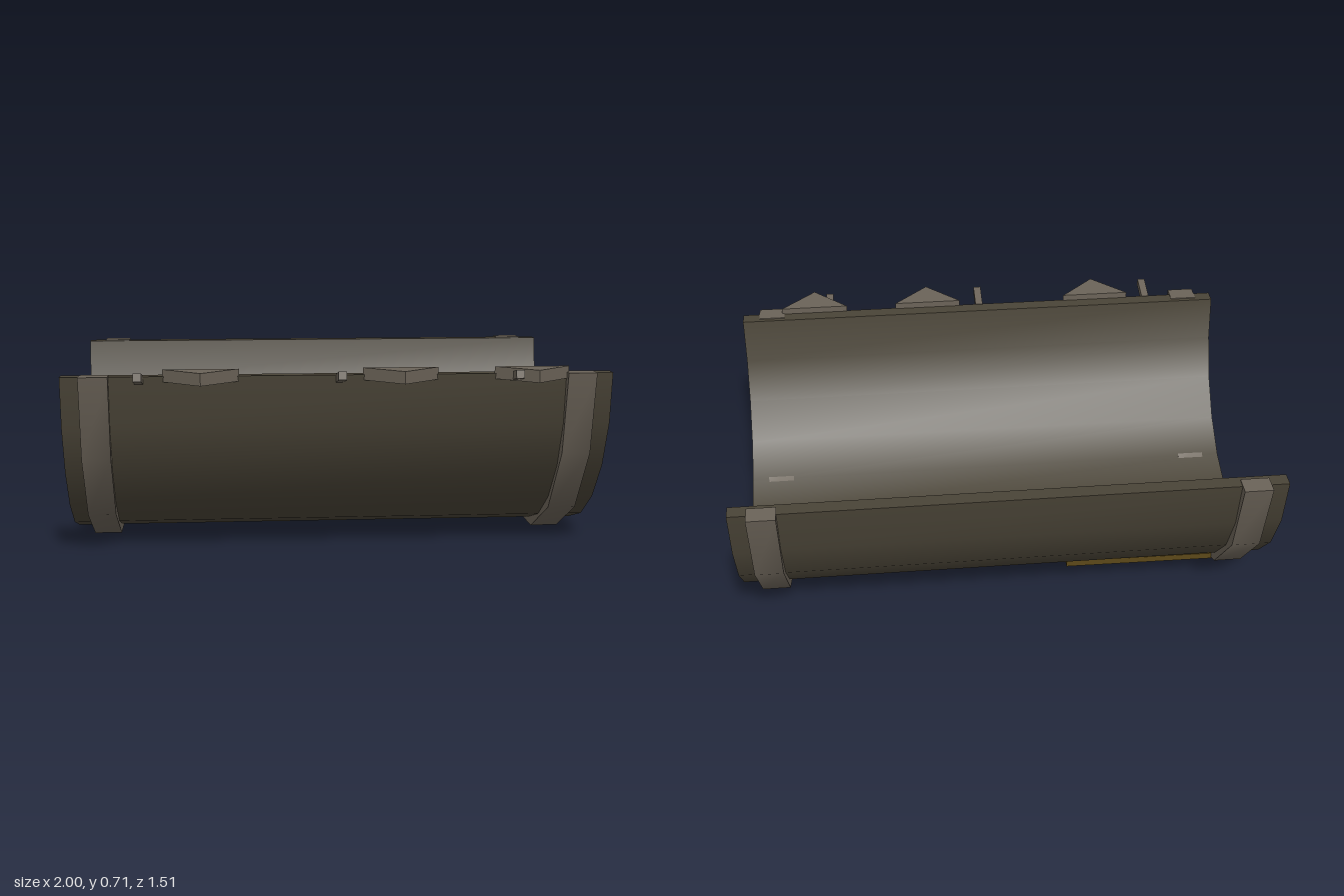
import * as THREE from 'three';
import { toCreasedNormals } from 'three/addons/utils/BufferGeometryUtils.js';

const AXIS_Y = 0.695, AXIS_Z = -0.045;

// Half ring hanging below the axis, swept along x and centred on x = 0
function halfRing(inner, outer, sides, length) {
  const at = (r, i) => {
    const a = Math.PI + (Math.PI * i) / sides;
    return new THREE.Vector2(r * Math.cos(a), r * Math.sin(a));
  };
  const pts = [];
  for (let i = 0; i <= sides; i++) pts.push(at(outer, i));
  for (let i = sides; i >= 0; i--) pts.push(at(inner, i));
  const geo = new THREE.ExtrudeGeometry(new THREE.Shape(pts), { depth: length, bevelEnabled: false });
  geo.translate(0, 0, -length / 2).rotateY(Math.PI / 2);
  return toCreasedNormals(geo, 0.6);
}

export function createModel() {
  const group = new THREE.Group();
  const material = (name, color) => {
    const m = new THREE.MeshStandardMaterial({ color });
    m.name = name;
    return m;
  };
  const trough = material('dark weathered metal', 0x4a4437);
  const fitting = material('grey brown metal', 0x6b6358);
  const wood = material('brown twig', 0x5c4819);

  const add = (name, geo, mat, x, y, z) => {
    const mesh = new THREE.Mesh(geo, mat);
    mesh.name = name;
    mesh.position.set(x, y, z);
    group.add(mesh);
    return mesh;
  };

  // Half-round trough
  add('trough', halfRing(0.62, 0.675, 11, 2), trough, 0, AXIS_Y, AXIS_Z);

  // Coarser bands around both ends
  const band = halfRing(0.637, 0.71, 7, 0.105);
  for (const s of [-1, 1]) add('endBand', band, fitting, s * 0.88, AXIS_Y + 0.003, AXIS_Z);

  // Pointed tabs along the front rim
  const outline = new THREE.Shape([[-0.137, 0], [0, -0.13], [0.137, 0]].map(p => new THREE.Vector2(...p)));
  const tab = new THREE.ExtrudeGeometry(outline, { depth: 0.045, bevelEnabled: false });
  tab.rotateX(-Math.PI / 2);
  for (const x of [-0.5, 0.22, 0.7]) add('rimTab', tab, fitting, x, 0.675, 0.625);

  // Small pegs rising slightly outwards
  const peg = new THREE.BoxGeometry(0.03, 0.03, 0.11);
  for (const x of [-0.72, 0, 0.635]) add('rimPeg', peg, fitting, x, 0.694, 0.682).rotation.x = -0.2;

  // Twigs: one leaning inside, one lying against the underside
  const twig = (name, a, b) => {
    const from = new THREE.Vector3(...a), to = new THREE.Vector3(...b);
    const mid = from.clone().add(to).multiplyScalar(0.5);
    const mesh = add(name, new THREE.BoxGeometry(0.026, 0.026, from.distanceTo(to)), wood, mid.x, mid.y, mid.z);
    mesh.lookAt(to);
  };
  twig('innerTwig', [-0.25, 0.205, -0.433], [0.16, 0.305, -0.363]);
  twig('outerTwig', [-0.25, 0.13, -0.425], [-0.85, 0.125, -0.425]);

  return group;
}
